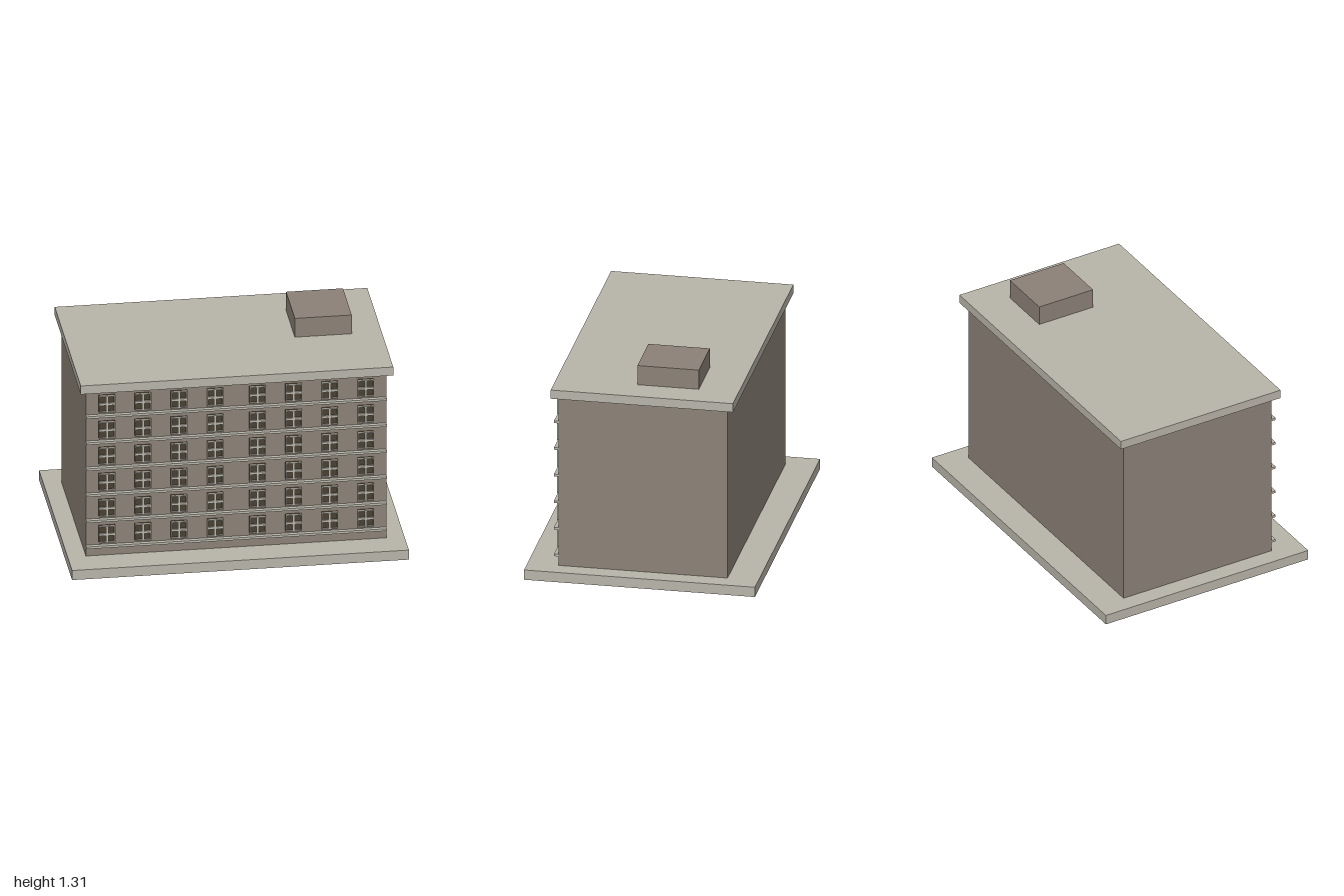
import * as THREE from 'three';

const material = (name, color) => {
  const m = new THREE.MeshStandardMaterial({ color });
  m.name = name;
  return m;
};

export function createModel() {
  const building = new THREE.Group();
  building.name = 'apartmentBlock';
  const concrete = material('pale concrete', 0xb9b5aa);
  const wall = material('brown wall', 0x8d8278);
  const glass = material('dark glass', 0x4a4030);

  // Box given by its limits along each axis
  const box = (name, mat, [x0, x1], [y0, y1], [z0, z1], parent = building) => {
    const mesh = new THREE.Mesh(new THREE.BoxGeometry(x1 - x0, y1 - y0, z1 - z0), mat);
    mesh.position.set((x0 + x1) / 2, (y0 + y1) / 2, (z0 + z1) / 2);
    mesh.name = name;
    parent.add(mesh);
    return mesh;
  };

  // Main masses
  box('basePlinth', concrete, [-1, 1], [0, 0.062], [-0.692, 0.692]);
  box('walls', wall, [-0.892, 0.892], [0.062, 1.135], [-0.507, 0.507]);
  box('roofSlab', concrete, [-0.928, 0.928], [1.135, 1.19], [-0.546, 0.546]);
  box('roofHut', wall, [0.412, 0.75], [1.19, 1.312], [-0.307, 0.061]);

  // Window frame: a thin rectangle with four pane openings
  const W = 0.048, H = 0.054, edge = 0.006, bar = 0.007;
  const rect = (path, x0, y0, x1, y1) =>
    path.moveTo(x0, y0).lineTo(x1, y0).lineTo(x1, y1).lineTo(x0, y1).closePath();
  const frameShape = new THREE.Shape();
  rect(frameShape, -W, -H, W, H);
  for (const sx of [-1, 1]) for (const sy of [-1, 1]) {
    const hole = new THREE.Path();
    const xs = [sx * bar, sx * (W - edge)].sort((a, b) => a - b);
    const ys = [sy * bar, sy * (H - edge)].sort((a, b) => a - b);
    rect(hole, xs[0], ys[0], xs[1], ys[1]);
    frameShape.holes.push(hole);
  }
  const frameGeometry = new THREE.ExtrudeGeometry(frameShape, { depth: 0.012, bevelEnabled: false });
  const glassGeometry = new THREE.BoxGeometry(W * 2, H * 2, 0.012);

  // Six storeys, each with a ledge and eight windows
  const columns = [0.126, 0.34, 0.554, 0.768].flatMap((x) => [-x, x]);
  for (let floor = 0; floor < 6; floor++) {
    const y = 0.204 + floor * 0.1695;
    box('ledge', concrete, [-0.893, 0.893], [y - 0.085, y - 0.071], [0.504, 0.533]);
    for (const x of columns) {
      const win = new THREE.Group();
      win.name = 'window';
      win.position.set(x, y, 0.507);
      const pane = new THREE.Mesh(glassGeometry, glass);
      pane.name = 'windowGlass';
      pane.position.z = 0.005;
      const frame = new THREE.Mesh(frameGeometry, concrete);
      frame.name = 'windowFrame';
      frame.position.z = 0.011;
      win.add(pane, frame);
      building.add(win);
    }
  }
  return building;
}
